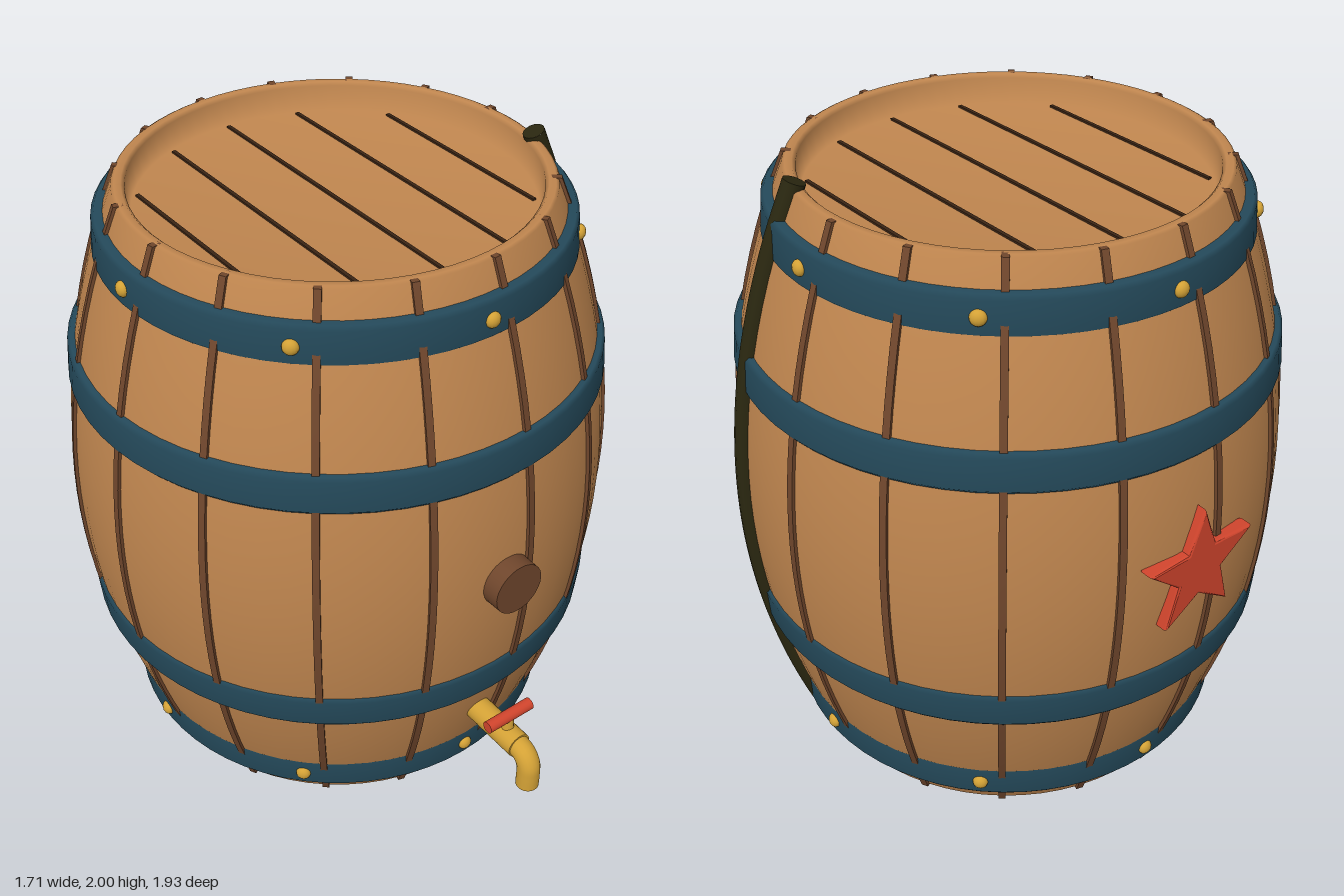
import * as THREE from 'three';

const material = (name, color) => {
  const m = new THREE.MeshStandardMaterial({ color });
  m.name = name;
  return m;
};

export function createModel() {
  const wood = material('oak wood', 0xc0864f);
  const darkWood = material('dark wood', 0x6f462c);
  const seam = material('lid seam', 0x3a2414);
  const steel = material('blue steel', 0x24495a);
  const brass = material('brass', 0xd4a236);
  const red = material('red paint', 0xd2452d);
  const tar = material('dark rope', 0x2a2710);

  const model = new THREE.Group();
  model.name = 'barrel';
  const cask = new THREE.Group(); // everything is placed round the cask axis
  cask.name = 'cask';
  cask.position.z = -0.0875;
  model.add(cask);

  const add = (name, geometry, mat, x = 0, y = 0, z = 0, parent = cask) => {
    const mesh = new THREE.Mesh(geometry, mat);
    mesh.name = name;
    mesh.position.set(x, y, z);
    parent.add(mesh);
    return mesh;
  };
  const profile = (points) => points.map(([x, y]) => new THREE.Vector2(x, y));

  // Bulging side of the cask
  const bulge = (y) => 0.85 - 0.208 * ((y - 1) / 0.97) ** 2;

  // Body with recessed heads at both ends
  const side = [];
  for (let i = 0; i <= 24; i++) {
    const y = 0.035 + (1.93 * i) / 24;
    side.push([bulge(y), y]);
  }
  add('body', new THREE.LatheGeometry(profile([
    [0, 0.12], [0.595, 0.12], [0.605, 0.04], [0.615, 0.03], [0.635, 0.03],
    ...side,
    [0.635, 1.97], [0.615, 1.97], [0.605, 1.96], [0.595, 1.88], [0, 1.88],
  ]), 64), wood);

  // Seams across the top head
  for (let i = -2; i <= 2; i++) {
    const x = i * 0.23;
    const length = 2 * Math.sqrt(0.58 ** 2 - x * x);
    add('headSeam', new THREE.BoxGeometry(0.012, 0.008, length), seam, x, 1.882, 0);
  }

  // Seams between the staves, bent to follow the side
  const rib = new THREE.BoxGeometry(0.022, 1.94, 0.03, 1, 24, 1);
  const pos = rib.attributes.position;
  for (let i = 0; i < pos.count; i++) {
    const y = pos.getY(i) + 1;
    pos.setXYZ(i, pos.getX(i), y, pos.getZ(i) + bulge(y) - 0.005);
  }
  rib.computeVertexNormals();
  for (let i = 0; i < 16; i++) {
    add('staveSeam', rib, darkWood).rotation.y = THREE.MathUtils.degToRad(5.4 + 22.5 * i);
  }

  // Hoops with softened edges, and rivets on the end hoops
  const rivet = new THREE.SphereGeometry(0.024, 14, 10);
  for (const y of [0.17, 0.58, 1.425, 1.83]) {
    const r = bulge(y) + 0.016;
    const h = 0.06;
    const lean = Math.sign(1 - y) * 0.004;
    add('hoop', new THREE.LatheGeometry(profile([
      [r - 0.07, y - h], [r - 0.01 - lean, y - h], [r - lean, y - h + 0.012],
      [r + lean, y + h - 0.012], [r - 0.01 + lean, y + h], [r - 0.07, y + h],
    ]), 64), steel);
    if (Math.abs(y - 1) < 0.6) continue;
    for (let i = 0; i < 8; i++) {
      const a = (i * Math.PI) / 4;
      const stud = add('rivet', rivet, brass, Math.sin(a) * r, y, Math.cos(a) * r);
      stud.rotation.y = a;
      stud.scale.z = 0.75;
    }
  }

  // Dark rope lying along one side from end to end
  const ropeAngle = THREE.MathUtils.degToRad(74);
  const ropePoints = [];
  for (let i = 0; i <= 12; i++) {
    const y = 0.012 + (1.976 * i) / 12;
    const r = bulge(y) - 0.004;
    ropePoints.push(new THREE.Vector3(Math.sin(ropeAngle) * r, y, Math.cos(ropeAngle) * r));
  }
  const capEnd = (name, curve, t, radius, mat) => {
    const p = curve.getPoint(t);
    const cap = add(name, new THREE.CircleGeometry(radius, 16), mat, p.x, p.y, p.z);
    const out = curve.getTangent(t).multiplyScalar(t ? 1 : -1);
    cap.quaternion.setFromUnitVectors(new THREE.Vector3(0, 0, 1), out);
  };
  const ropeCurve = new THREE.CatmullRomCurve3(ropePoints);
  add('rope', new THREE.TubeGeometry(ropeCurve, 48, 0.034, 12), tar);
  capEnd('ropeEnd', ropeCurve, 0, 0.034, tar);
  capEnd('ropeEnd', ropeCurve, 1, 0.034, tar);

  // Bung in the front
  add('bung', new THREE.CylinderGeometry(0.085, 0.088, 0.12, 32), darkWood, 0, 1.003, 0.842)
    .rotation.x = Math.PI / 2;

  // Tap: pipe, bent spout, stem and handle
  add('tapPipe', new THREE.CylinderGeometry(0.042, 0.042, 0.29, 24), brass, 0, 0.385, 0.82)
    .rotation.x = Math.PI / 2;
  const spout = new THREE.CatmullRomCurve3([
    [0.385, 0.9], [0.385, 0.955], [0.374, 0.993], [0.345, 1.013], [0.31, 1.016], [0.26, 1.016],
  ].map(([y, z]) => new THREE.Vector3(0, y, z)));
  add('tapSpout', new THREE.TubeGeometry(spout, 24, 0.037, 20), brass);
  capEnd('spoutEnd', spout, 1, 0.037, brass);
  add('tapStem', new THREE.CylinderGeometry(0.016, 0.022, 0.07, 16), brass, 0, 0.437, 0.907);
  add('tapHandle', new THREE.CylinderGeometry(0.02, 0.02, 0.172, 16), red, 0, 0.472, 0.907)
    .rotation.z = Math.PI / 2;

  // Star plaque on the back
  const star = new THREE.Shape();
  for (let i = 0; i < 10; i++) {
    const r = i % 2 ? 0.08 : 0.196;
    const a = (i * Math.PI) / 5;
    star[i ? 'lineTo' : 'moveTo'](Math.sin(a) * r, Math.cos(a) * r);
  }
  star.closePath();
  add('star', new THREE.ExtrudeGeometry(star, {
    depth: 0.03, bevelEnabled: true, bevelThickness: 0.01, bevelSize: 0.008, bevelSegments: 2,
  }), red, 0, 1.003, -0.836).rotation.y = Math.PI;

  return model;
}
